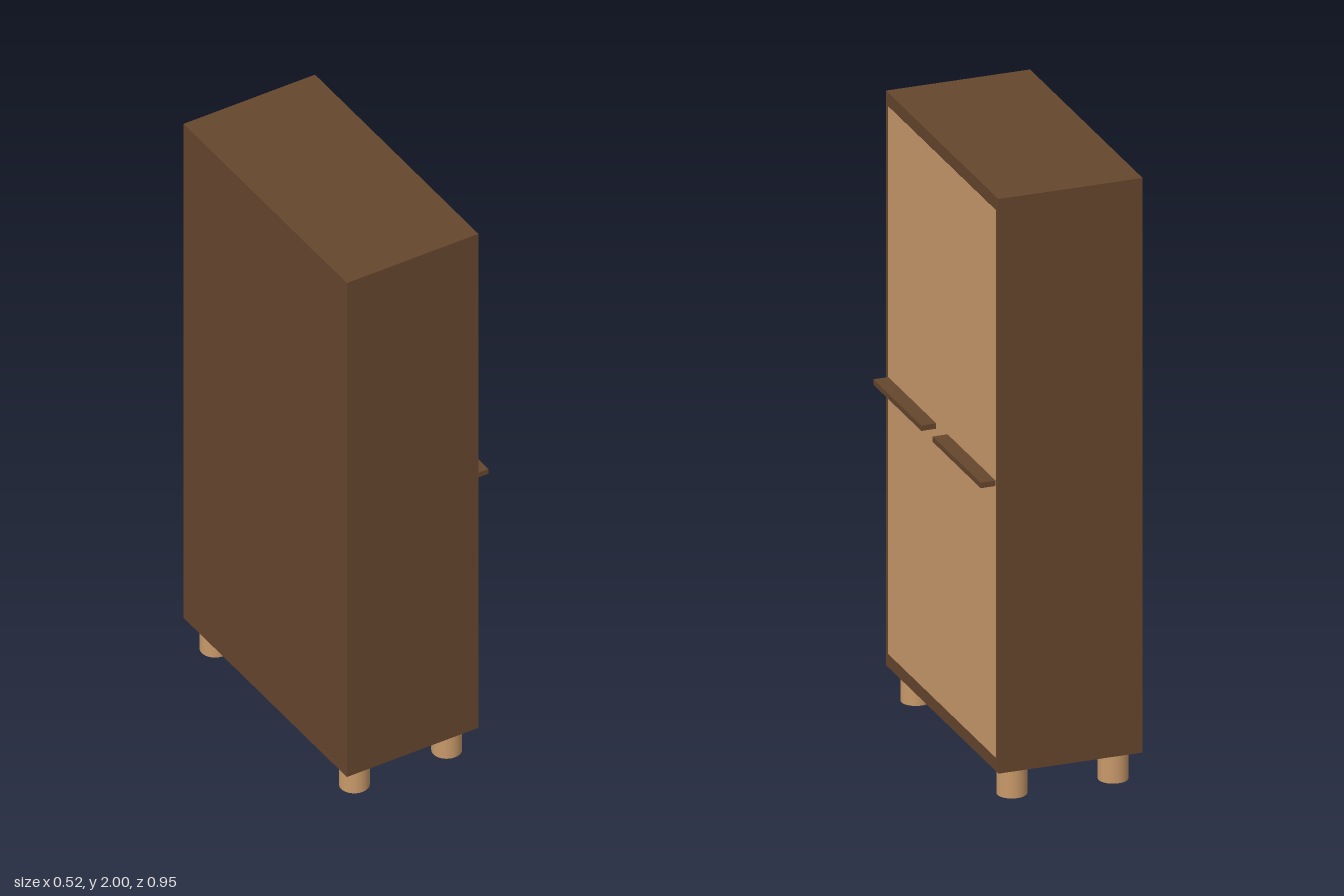
import * as THREE from 'three';

export function createModel() {
  const group = new THREE.Group();
  const darkWood = new THREE.MeshStandardMaterial({ color: 0x65462d });
  const paleWood = new THREE.MeshStandardMaterial({ color: 0xc8996a });

  const add = (name, geometry, material, x, y, z) => {
    const mesh = new THREE.Mesh(geometry, material);
    mesh.name = name;
    mesh.position.set(x, y, z);
    group.add(mesh);
  };
  // Box given by its lower and upper corners
  const box = (name, material, [x0, y0, z0], [x1, y1, z1]) =>
    add(name, new THREE.BoxGeometry(x1 - x0, y1 - y0, z1 - z0), material,
      (x0 + x1) / 2, (y0 + y1) / 2, (z0 + z1) / 2);

  // Cabinet body with the door panel set almost flush in its +x face
  const face = 0.212;
  box('cabinetBody', darkWood, [-0.262, 0.1, -0.475], [face, 2, 0.475]);
  box('doorPanel', paleWood, [face - 0.02, 0.145, -0.454], [face + 0.001, 1.955, 0.454]);

  // Mirrored shelf-like handles and the four round feet
  for (const side of [-1, 1]) {
    const name = side > 0 ? 'frontHandle' : 'backHandle';
    const a = side * 0.048, b = side * 0.453;
    box(name, darkWood, [face, 1.043, Math.min(a, b)], [0.262, 1.061, Math.max(a, b)]);
    for (const x of [-0.192, 0.141]) {
      add('foot', new THREE.CylinderGeometry(0.0475, 0.0475, 0.1, 32), paleWood, x, 0.05, side * 0.405);
    }
  }
  return group;
}
